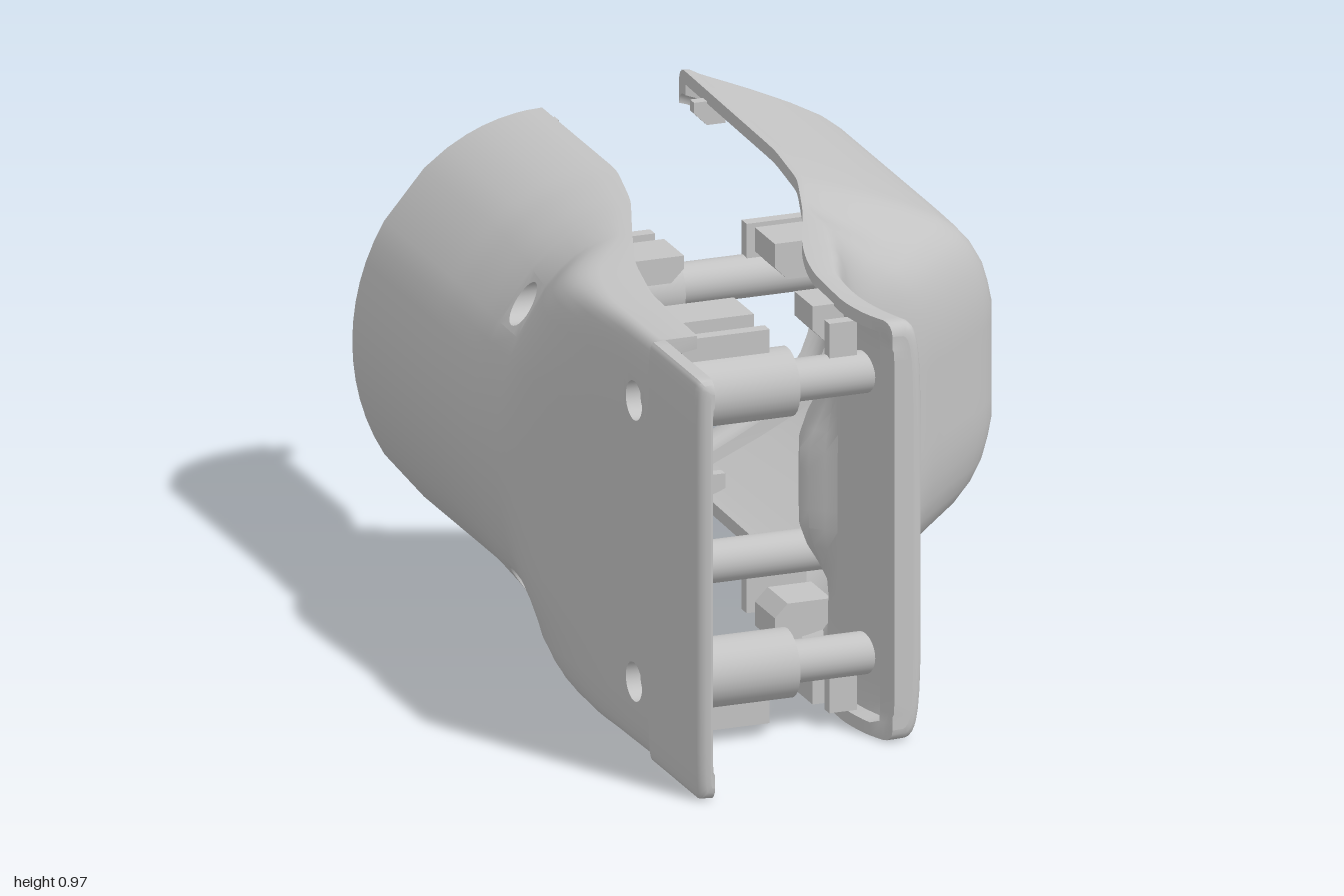
import * as THREE from 'three';
import { toCreasedNormals } from 'three/addons/utils/BufferGeometryUtils.js';

const MID = 0.485, R = 0.03;            // half height, end corner radius
const POST_Y = 0.325, POST_Z = [-0.07, 0.62], HOLE = 0.045, CELL = 0.055;

// piecewise-linear lookup, softened by averaging
function lookup(pts, z) {
  const at = (q) => {
    if (q <= pts[0][0]) return pts[0][1];
    for (let i = 1; i < pts.length; i++) {
      const [z0, v0] = pts[i - 1], [z1, v1] = pts[i];
      if (q <= z1) return v0 + (v1 - v0) * (q - z0) / (z1 - z0);
    }
    return pts[pts.length - 1][1];
  };
  return (at(z - 0.03) + 2 * at(z) + at(z + 0.03)) / 4;
}
const { smoothstep: smooth, lerp, clamp } = THREE.MathUtils;
const superellipse = (t, n) => Math.pow(Math.max(0, 1 - t ** n), 1 / n);
// how far a rounded end pulls the surface in, d being the distance to the end
const corner = (d) => (d >= R ? 0 : R - Math.sqrt(Math.max(0, R * R - (R - d) ** 2)));

// half shell: a section profile swept along z, with wall thickness and screw holes
function shellGeometry(c) {
  const pos = [];
  const quad = (a, b, d, e, flip) => {
    const q = flip ? [a, d, b, a, e, d] : [a, b, d, a, d, e];
    q.forEach((p) => pos.push(p[0], p[1], p[2]));
  };
  const round = (z) => (c.roundBack ? corner(z - c.z0) : 0) + corner(c.z1 - z);
  const point = (dy, z, inside) => {
    const r = round(z), seam = c.seam(z);
    const [wx, wy] = inside ? c.wall(z) : [0, 0];
    const H = MID - r, Hin = H - wy;
    const yy = clamp(dy * H / MID, -Hin, Hin);
    const t = Math.min(1, Math.abs(yy) / Hin);
    let depth = Math.abs(c.face(z) - seam) - r - wx;
    if (inside) depth = c.solid(z) ? 0.005 : Math.max(0.005, depth);
    const x = seam + c.side * (depth * c.profile(t, z) - c.dent(dy, z));
    return [x, MID + yy, z];
  };
  // grid lines, aligned with the hole cells
  const half = [0.045, 0.09, 0.135, 0.18, 0.225, 0.27, 0.38, 0.42, 0.445, 0.46, 0.472, 0.48, 0.4835, 0.485];
  if (!c.holes) half.splice(6, 0, 0.305, 0.34);
  const ys = [...half.map((v) => -v).reverse(), 0, ...half];
  let zs = [...c.extraZ, c.z0, c.z1];
  for (const d of [0.002, 0.008, 0.017, 0.03]) zs.push(c.z0 + d, c.z1 - d);
  for (let z = c.z0 + 0.06; z < c.z1 - 0.04; z += 0.025) zs.push(z);
  if (c.holes) {
    zs = zs.filter((z) => POST_Z.every((h) => Math.abs(z - h) > CELL + 0.002));
    POST_Z.forEach((h) => zs.push(h - CELL, h + CELL));
  }
  zs.sort((a, b) => a - b);
  const isHole = (y, z) => c.holes && Math.abs(Math.abs(y) - POST_Y) < 0.04
    && POST_Z.some((h) => Math.abs(z - h) < 0.04);
  const left = c.side < 0;
  const O = zs.map((z) => ys.map((y) => point(y, z, false)));
  const I = zs.map((z) => ys.map((y) => point(y, z, true)));
  const m = ys.length - 1, k = zs.length - 1;
  for (let i = 0; i < k; i++) {
    for (let j = 0; j < m; j++) {
      if (isHole((ys[j] + ys[j + 1]) / 2, (zs[i] + zs[i + 1]) / 2)) continue;
      quad(O[i][j], O[i + 1][j], O[i + 1][j + 1], O[i][j + 1], !left);
      quad(I[i][j], I[i + 1][j], I[i + 1][j + 1], I[i][j + 1], left);
    }
    // seam edges
    quad(O[i][0], O[i + 1][0], I[i + 1][0], I[i][0], left);
    quad(O[i][m], O[i + 1][m], I[i + 1][m], I[i][m], !left);
  }
  // end edges
  for (let j = 0; j < m; j++) {
    quad(O[0][j], O[0][j + 1], I[0][j + 1], I[0][j], left);
    quad(O[k][j], O[k][j + 1], I[k][j + 1], I[k][j], !left);
  }
  // screw holes: square-to-circle patch, bore and floor
  if (c.holes) for (const hz of POST_Z) for (const hy of [-POST_Y, POST_Y]) {
    const N = 24, floor = -0.3;
    const cornerX = (u, v) => point(hy + u * CELL, hz + v * CELL, false)[0];
    const [x00, x10, x01, x11] = [cornerX(-1, -1), cornerX(1, -1), cornerX(-1, 1), cornerX(1, 1)];
    // bilinear patch, so its straight sides meet the grid without gaps
    const patch = (u, v) => [
      lerp(lerp(x00, x10, (u + 1) / 2), lerp(x01, x11, (u + 1) / 2), (v + 1) / 2),
      MID + hy + u * CELL, hz + v * CELL];
    const ring = [];
    for (let i = 0; i <= N; i++) {
      const a = i / N * Math.PI * 2, u = Math.sin(a), v = Math.cos(a);
      const s = 1 / Math.max(Math.abs(u), Math.abs(v)), h = HOLE / CELL;
      const rim = patch(u * h, v * h);
      ring.push([patch(u * s, v * s), rim, [floor, rim[1], rim[2]]]);
    }
    for (let i = 0; i < N; i++) {
      const a = ring[i], b = ring[i + 1];
      quad(a[0], b[0], b[1], a[1], false);
      quad(a[1], b[1], b[2], a[2], false);
      quad(a[2], b[2], [floor, MID + hy, hz], [floor, MID + hy, hz], false);
    }
  }
  const g = new THREE.BufferGeometry();
  g.setAttribute('position', new THREE.Float32BufferAttribute(pos, 3));
  return toCreasedNormals(g, 0.6);
}

export function createModel() {
  const group = new THREE.Group();
  const grey = new THREE.MeshStandardMaterial({ color: 0xc4c4c4, side: THREE.DoubleSide });
  grey.name = 'grey plastic';
  const add = (name, geo, x = 0, y = 0, z = 0) => {
    const mesh = new THREE.Mesh(geo, grey);
    mesh.name = name;
    mesh.position.set(x, y, z);
    group.add(mesh);
  };

  // flat-fronted shell with the screw holes
  const rSeam = [[-0.85, -0.19], [-0.4, -0.19], [-0.2, -0.235], [0, -0.31], [0.2, -0.38], [0.4, -0.42], [0.7, -0.43]];
  const rFace = [[-0.85, -0.635], [-0.1, -0.635], [0.1, -0.61], [0.3, -0.575], [0.5, -0.552], [0.7, -0.545]];
  add('rightShell', shellGeometry({
    side: -1, z0: -0.85, z1: 1, holes: true, roundBack: false, extraZ: [0.699, 0.701],
    seam: (z) => (z > 0.7 ? -0.505 : lookup(rSeam, z)),
    face: (z) => lookup(rFace, z),
    profile: (t, z) => superellipse(t, 2 + 8 * smooth(z, -0.05, 0.6)),
    wall: () => [0.035, 0.03],
    solid: () => false,
    dent: () => 0,
  }));

  // deep shell with the thumb recess; its back section is a rounded trapezoid
  const lSeam = [[-1, 0.19], [-0.4, 0.18], [-0.2, 0.155], [0, 0.09], [0.1, 0.05], [0.2, 0.01], [0.3, -0.02],
    [0.4, -0.04], [0.6, -0.05], [0.7, -0.035], [0.78, 0]];
  const lFace = [[-1, 0.632], [-0.24, 0.632], [-0.2, 0.605], [0, 0.4], [0.05, 0.355], [0.11, 0.25], [0.2, 0.145],
    [0.32, 0.07], [0.42, 0.033], [0.55, 0.025], [0.65, 0.04], [0.75, 0.07], [0.78, 0.078]];
  const trapezoid = [[0, 1], [0.28, 1], [0.45, 0.96], [0.6, 0.87], [0.71, 0.72], [0.82, 0.48], [0.91, 0.25], [1, 0.01]];
  add('leftShell', shellGeometry({
    side: 1, z0: -1, z1: 0.78, holes: false, roundBack: true, extraZ: [-0.961, -0.959],
    seam: (z) => lookup(lSeam, z),
    face: (z) => lookup(lFace, z),
    profile: (t, z) => lerp(t < 1 ? lookup(trapezoid, t) : 0, superellipse(t, 6), smooth(z, -0.05, 0.35)),
    wall: (z) => (z < -0.96 ? [0.1, 0.055] : [0.045, 0.03]),
    solid: (z) => z > 0.72,
    dent: (dy, z) => 0.07 * smooth(z, 0.1, 0.17) * (1 - smooth(z, 0.41, 0.49))
      * (1 - smooth(Math.abs(dy), 0.08, 0.25)),
  }));

  // rod lying along x
  const rod = (name, r, x0, x1, y, z) => {
    const g = new THREE.CylinderGeometry(r, r, x1 - x0, 28);
    g.rotateZ(Math.PI / 2);
    add(name, g, (x0 + x1) / 2, y, z);
  };
  // plate with one chamfered corner at its free tip; s is +1 above, -1 below
  const plate = (name, base, tip, low, high, z0, z1, s) => {
    const dir = Math.sign(tip - base), ch = 0.03;
    const pts = [[base, low], [tip - dir * ch, low], [tip, low + ch], [tip, high], [base, high]]
      .map(([x, y]) => new THREE.Vector2(x, MID + s * (y - MID)));
    const g = new THREE.ExtrudeGeometry(new THREE.Shape(pts), { depth: z1 - z0, bevelEnabled: false });
    add(name, g, 0, 0, z0);
  };
  const box = (name, x0, x1, y, h, z, d) =>
    add(name, new THREE.BoxGeometry(x1 - x0, h, d), (x0 + x1) / 2, y, z);

  for (const s of [1, -1]) {
    const y = MID + s * POST_Y;
    // screw posts and the pins that enter them
    rod('frontPost', 0.078, -0.515, -0.187, y, POST_Z[1]);
    rod('backPost', 0.078, -0.44, -0.187, y, POST_Z[0]);
    rod('frontPin', 0.048, -0.19, 0, y, POST_Z[1]);
    rod('backPin', 0.048, -0.19, 0.27, y, POST_Z[0]);
    // ribs tying posts and pins to the walls
    const ry = MID + s * 0.425;
    box('frontPostRib', -0.44, -0.235, ry, 0.06, POST_Z[1], 0.03);
    box('backPostRib', -0.36, -0.235, ry, 0.06, POST_Z[0], 0.03);
    box('frontPinRib', -0.095, -0.03, MID + s * 0.4, 0.1, POST_Z[1], 0.03);
    box('backPinRib', -0.02, 0.12, MID + s * 0.4, 0.1, POST_Z[0], 0.03);
    // locating plates
    plate('rightFrontPlate', -0.5, -0.235, 0.885, 0.945, 0.42, 0.54, s);
    plate('rightBackPlate', -0.39, -0.235, 0.885, 0.945, 0, 0.12, s);
    plate('leftFrontPlate', 0, -0.097, 0.86, 0.945, 0.43, 0.54, s);
    plate('leftBackPlate', 0.11, -0.022, 0.86, 0.945, 0, 0.12, s);
    // hooks at the back of the seam
    plate('rightHook', -0.28, -0.16, 0.89, 0.945, -0.85, -0.825, s);
    plate('leftHook', 0.23, 0.157, 0.89, 0.945, -0.85, -0.825, s);
  }
  return group;
}
